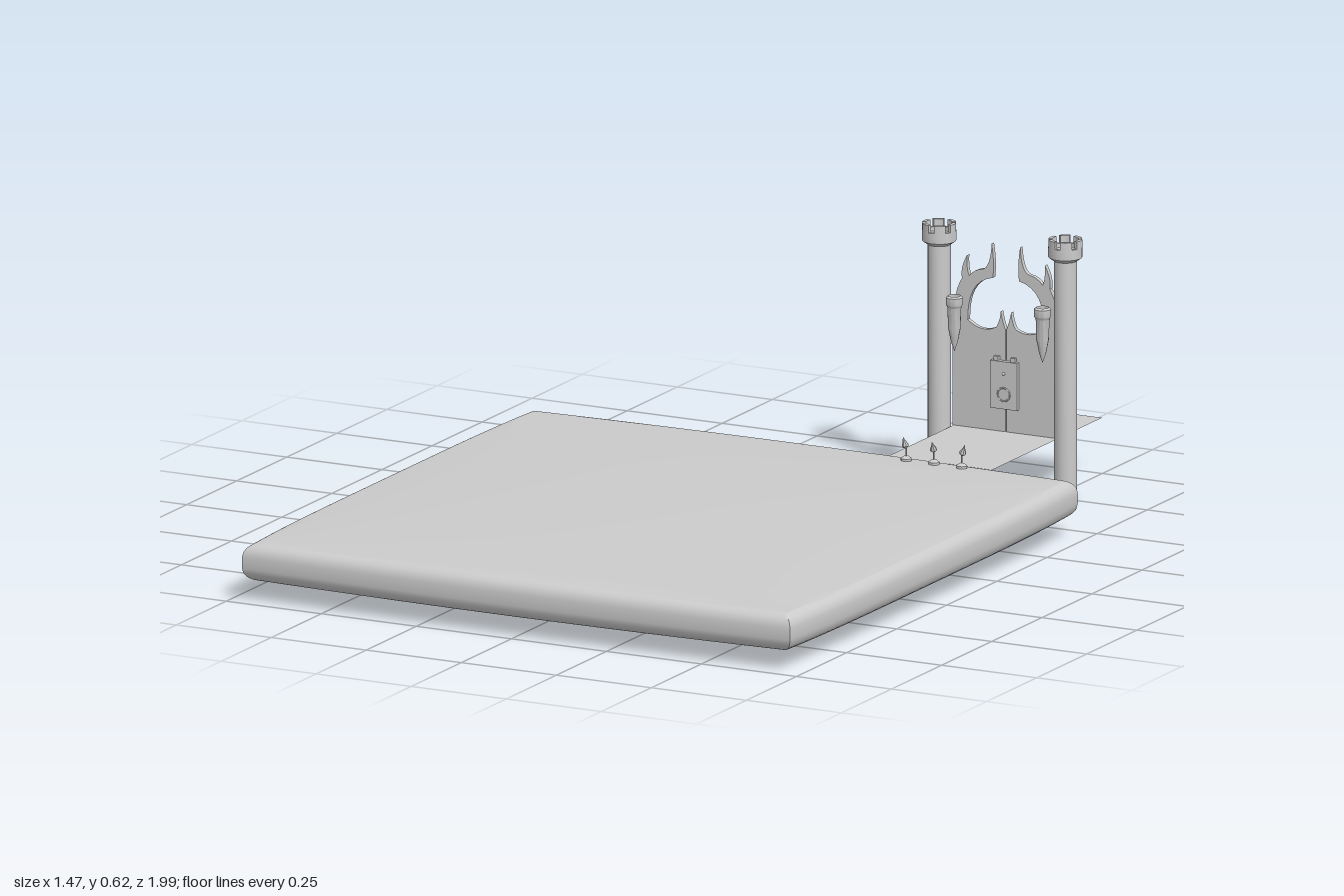
import * as THREE from 'three';
import { mergeVertices, toCreasedNormals } from 'three/addons/utils/BufferGeometryUtils.js';

const MID = 0.3625; // x of the gate's mirror line
const DECK = 0.134; // height of the walkway
const material = new THREE.MeshStandardMaterial({ color: 0xcccccc });
const thin = new THREE.MeshStandardMaterial({ color: 0xcccccc, side: THREE.DoubleSide });

function add(parent, name, geometry, x = 0, y = 0, z = 0, mat = material) {
  const mesh = new THREE.Mesh(geometry, mat);
  mesh.name = name;
  mesh.position.set(x, y, z);
  parent.add(mesh);
  return mesh;
}

const crease = (g) => toCreasedNormals(g, 0.7);
const lathe = (points, sides) =>
  crease(new THREE.LatheGeometry(points.map(([r, y]) => new THREE.Vector2(r, y)), sides));

// Pillow-like slab: a gridded box, rounded at the rim and bulged on every side
function slabGeometry() {
  let g = new THREE.BoxGeometry(2, 2, 2, 24, 10, 24);
  g.deleteAttribute('uv');
  g.deleteAttribute('normal');
  g = mergeVertices(g);
  const p = g.attributes.position;
  const ease = (t) => Math.sin((t * Math.PI) / 2);
  for (let i = 0; i < p.count; i++) {
    const u = ease(p.getX(i)), v = ease(p.getY(i)), w = ease(p.getZ(i));
    const inset = 0.022 * v ** 4;
    const dome = 0.016 * (1 - u * u) * (1 - w * w * 0.9) + 0.004 * (1 - u ** 8) * (1 - w ** 8);
    p.setXYZ(i,
      u * (0.721 + 0.013 * (1 - w ** 4) - inset),
      0.091 + v * (0.044 + dome),
      w * (0.718 + 0.014 * (1 - u * u) - inset));
  }
  return toCreasedNormals(g, 0.9);
}

// Upright block shaped like a sector of a ring
function merlonGeometry(inner, outer, angle, height) {
  const s = new THREE.Shape();
  s.absarc(0, 0, outer, -angle / 2, angle / 2, false);
  s.absarc(0, 0, inner, angle / 2, -angle / 2, true);
  const g = new THREE.ExtrudeGeometry(s, { depth: height, bevelEnabled: false, curveSegments: 4 });
  return g.rotateX(-Math.PI / 2);
}

// Round pillar with a flared, battlemented head
function makePillar(x) {
  const pillar = new THREE.Group();
  pillar.name = 'pillar';
  pillar.position.set(x, 0, -0.762);
  add(pillar, 'pillarShaft', lathe([[0, 0], [0.027, 0], [0.027, 0.58]], 16));
  add(pillar, 'pillarHead', lathe(
    [[0.027, 0.57], [0.04, 0.579], [0.04, 0.604], [0.031, 0.604], [0.031, 0.594], [0, 0.594]], 18));
  const merlon = merlonGeometry(0.031, 0.04, 0.7, 0.019);
  for (let i = 0; i < 6; i++) {
    add(pillar, 'merlon', merlon, 0, 0.603, 0).rotation.y = (i * Math.PI) / 3;
  }
  return pillar;
}

// Half of the gate: door leaf, centre spike and curling horn
function leafGeometry() {
  const s = new THREE.Shape();
  s.moveTo(0.222, DECK);
  s.lineTo(MID - 0.001, DECK);
  s.lineTo(MID - 0.001, 0.379);
  s.quadraticCurveTo(0.354, 0.395, 0.349, 0.422);
  s.quadraticCurveTo(0.347, 0.398, 0.337, 0.383);
  s.quadraticCurveTo(0.3, 0.362, 0.262, 0.392);
  s.bezierCurveTo(0.262, 0.45, 0.278, 0.49, 0.328, 0.5);
  s.quadraticCurveTo(0.333, 0.535, 0.325, 0.582);
  s.quadraticCurveTo(0.322, 0.522, 0.299, 0.517);
  s.quadraticCurveTo(0.28, 0.515, 0.266, 0.498);
  s.quadraticCurveTo(0.258, 0.515, 0.26, 0.546);
  s.quadraticCurveTo(0.242, 0.515, 0.247, 0.49);
  s.quadraticCurveTo(0.232, 0.465, 0.23, 0.44);
  s.lineTo(0.222, 0.4);
  s.closePath();
  const g = new THREE.ExtrudeGeometry(s, { depth: 0.012, bevelEnabled: false, curveSegments: 8 });
  return g.translate(-MID, 0, -0.792);
}

// Small turret hanging from the wall on a pointed foot
const turretGeometry = () => lathe([
  [0, 0.322], [0.008, 0.345], [0.015, 0.38], [0.016, 0.428], [0.02, 0.434],
  [0.02, 0.452], [0.015, 0.456], [0.015, 0.447], [0, 0.447],
], 12);

// Framed plaque with a round knob and two hinge lugs
function makePlaque() {
  const plaque = new THREE.Group();
  plaque.name = 'plaque';
  plaque.position.set(MID, 0.248, -0.774);
  add(plaque, 'plaqueBoard', new THREE.BoxGeometry(0.07, 0.114, 0.012));
  add(plaque, 'plaqueRing', new THREE.TorusGeometry(0.016, 0.002, 6, 20), 0, -0.022, 0.006);
  add(plaque, 'plaqueStud', new THREE.SphereGeometry(0.004, 8, 6), 0, 0.028, 0.006);
  for (const side of [-1, 1]) {
    add(plaque, 'plaqueLug', new THREE.BoxGeometry(0.012, 0.012, 0.008), side * 0.022, 0.061, -0.002);
  }
  return plaque;
}

// Little lamp: flat foot, fine stem and a leaning flame
function makeLamp(x, turn) {
  const lamp = new THREE.Group();
  lamp.name = 'lamp';
  lamp.position.set(x, 0.138, -0.422);
  lamp.rotation.y = turn;
  add(lamp, 'lampFoot', lathe([[0, 0], [0.013, 0], [0.013, 0.006], [0.006, 0.011], [0, 0.012]], 10));
  add(lamp, 'lampStem', new THREE.CylinderGeometry(0.002, 0.002, 0.022, 6), 0, 0.02, 0);
  const flame = lathe([[0, 0], [0.008, 0.006], [0.008, 0.011], [0.003, 0.021], [0, 0.03]], 8);
  add(lamp, 'lampFlame', flame, 0, 0.028, 0).rotation.z = 0.3;
  return lamp;
}

export function createModel() {
  const model = new THREE.Group();
  model.name = 'gateAndPlatform';

  add(model, 'platform', slabGeometry(), 0, 0, 0.259);
  const deck = new THREE.PlaneGeometry(0.274, 0.59).rotateX(-Math.PI / 2);
  add(model, 'walkway', deck, MID, DECK, -0.705, thin);

  const leaf = leafGeometry();
  for (const side of [-1, 1]) {
    model.add(makePillar(MID + side * 0.166));
    add(model, 'turret', turretGeometry(), MID + side * 0.116, 0, -0.743);
    // Half a turn mirrors the symmetric-thickness leaf about the centre line
    const half = add(model, 'gateLeaf', leaf, MID, 0, 0);
    if (side > 0) {
      half.rotation.y = Math.PI;
      half.position.z = -0.786 * 2;
    }
  }
  model.add(makePlaque());
  [0.289, 0.362, 0.435].forEach((x, i) => model.add(makeLamp(x, i * 1.5)));
  return model;
}
